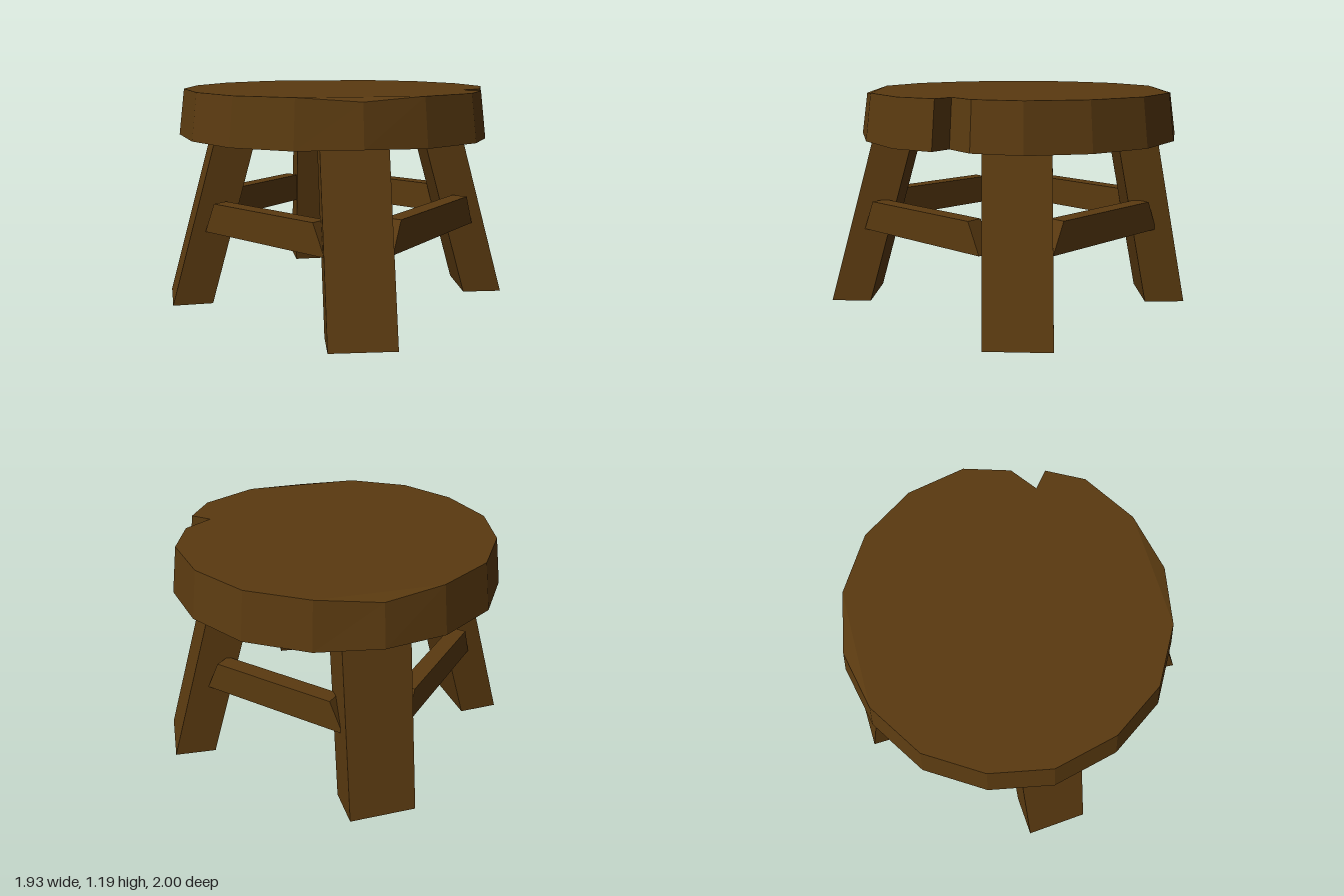
import * as THREE from 'three';

const wood = new THREE.MeshStandardMaterial({ color: 0x5a3a10 });
wood.name = 'dark wood';

// Solid between a bottom and a top outline, given as matching lists of [x, y, z]
function loft(name, bottom, top) {
  const flat = (pts) => pts.map(([x, , z]) => new THREE.Vector2(x, -z));
  if (THREE.ShapeUtils.isClockWise(flat(bottom))) {
    bottom = [...bottom].reverse();
    top = [...top].reverse();
  }
  const pos = [];
  const tri = (a, b, c) => pos.push(...a, ...b, ...c);
  bottom.forEach((b, i) => {
    const j = (i + 1) % bottom.length;
    tri(b, bottom[j], top[j]);
    tri(b, top[j], top[i]);
  });
  for (const [a, b, c] of THREE.ShapeUtils.triangulateShape(flat(top), [])) tri(top[a], top[b], top[c]);
  for (const [a, b, c] of THREE.ShapeUtils.triangulateShape(flat(bottom), [])) tri(bottom[c], bottom[b], bottom[a]);
  const geo = new THREE.BufferGeometry();
  geo.setAttribute('position', new THREE.Float32BufferAttribute(pos, 3));
  geo.computeVertexNormals();
  const mesh = new THREE.Mesh(geo, wood);
  mesh.name = name;
  return mesh;
}

// Splayed leg: two outer foot corners, the step to the inner face and the lean towards the seat
function leg(name, p, q, inward, lean) {
  const H = 0.945;
  const foot = [p, q, [q[0] + inward[0], q[1] + inward[1]], [p[0] + inward[0], p[1] + inward[1]]];
  return loft(name,
    foot.map(([x, z]) => [x, 0, z]),
    foot.map(([x, z]) => [x + lean[0], H, z + lean[1]]));
}

// Rail between neighbouring legs, with slanted ends; p and q are its outer bottom corners
function rail(name, p, q) {
  const a = new THREE.Vector2(...p), b = new THREE.Vector2(...q);
  const dir = b.clone().sub(a).normalize();
  const inward = new THREE.Vector2(-dir.y, dir.x).multiplyScalar(0.09);
  if (inward.dot(a) > 0) inward.negate();
  const outline = (cut, y) => {
    const s = a.clone().addScaledVector(dir, cut), e = b.clone().addScaledVector(dir, -cut);
    return [s, e, e.clone().add(inward), s.clone().add(inward)].map((v) => [v.x, y, v.y]);
  };
  return loft(name, outline(0, 0.42), outline(0.075, 0.585));
}

export function createModel() {
  const stool = new THREE.Group();
  stool.name = 'stool';

  // Round seat with a split in its left front edge
  const rim = [
    [0, -0.95], [0.33, -0.88], [0.63, -0.69], [0.82, -0.4], [0.885, -0.07], [0.8, 0.185],
    [0.65, 0.29], [0.745, 0.37], [0.63, 0.57], [0.33, 0.75], [0, 0.82], [-0.33, 0.75],
    [-0.63, 0.57], [-0.815, 0.28], [-0.89, -0.07], [-0.82, -0.4], [-0.63, -0.69], [-0.33, -0.88],
  ];
  const cz = -0.065, taper = 0.964;
  stool.add(loft('seat',
    rim.map(([x, z]) => [x, x === 0 ? 0.945 : 0.936, z]),
    rim.map(([x, z]) => [x * taper, x === 0 ? 1.17 : 1.19, cz + (z - cz) * taper])));

  // Four hand-set legs, each a little askew
  stool.add(
    leg('frontLeg', [-0.2, 0.977], [0.14, 1.0], [0.015, -0.22], [0, -0.262]),
    leg('backLeg', [-0.175, -0.99], [0.175, -1.0], [0.006, 0.22], [0, 0.18]),
    leg('leftLeg', [0.965, -0.215], [0.945, 0.13], [-0.22, -0.013], [-0.263, 0]),
    leg('rightLeg', [-0.97, -0.21], [-0.95, 0.13], [0.22, -0.013], [0.26, 0]),
  );

  // Four rails joining neighbouring legs
  stool.add(
    rail('frontLeftRail', [0.755, 0.145], [0.15, 0.8]),
    rail('frontRightRail', [-0.76, 0.145], [-0.19, 0.8]),
    rail('backLeftRail', [0.755, -0.22], [0.17, -0.83]),
    rail('backRightRail', [-0.76, -0.22], [-0.17, -0.83]),
  );
  return stool;
}
